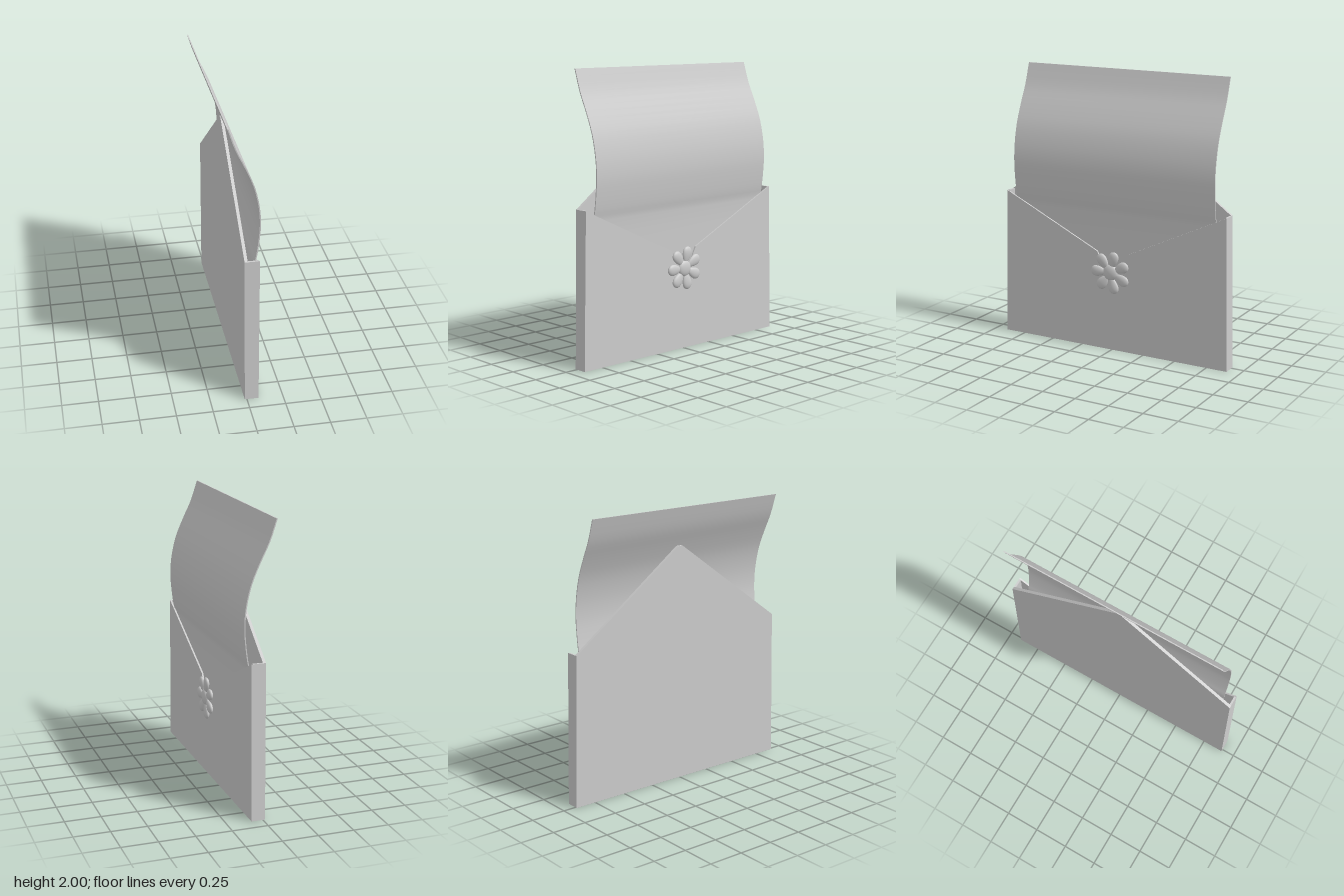
import * as THREE from 'three';

const paper = new THREE.MeshStandardMaterial({ color: 0xcccccc });
paper.name = 'pale grey paper';

function add(parent, geometry, name) {
  const mesh = new THREE.Mesh(geometry, paper);
  mesh.name = name;
  parent.add(mesh);
  return mesh;
}

// Outline in the width/height plane, extruded along x from x0 to x1
function panel(points, x0, x1) {
  const shape = new THREE.Shape(points.map(([u, v]) => new THREE.Vector2(u, v)));
  return new THREE.ExtrudeGeometry(shape, { depth: x1 - x0, bevelEnabled: false })
    .rotateY(Math.PI / 2).translate(x0, 0, 0);
}

// Right half of an outline from bottom to top, mirrored to a closed loop
function mirrored(half) {
  return [...half, ...half.slice().reverse().map(([u, v]) => [-u, v])];
}

// Apply a rule to every vertex
function reshape(geometry, rule) {
  const pos = geometry.attributes.position;
  const v = new THREE.Vector3();
  for (let i = 0; i < pos.count; i++) {
    v.fromBufferAttribute(pos, i);
    rule(v);
    pos.setXYZ(i, v.x, v.y, v.z);
  }
  geometry.computeVertexNormals();
  return geometry;
}

function makeEnvelope() {
  const group = new THREE.Group();
  group.name = 'envelope';

  // Back panel with the raised pointed flap, leaning slightly back
  const back = panel(mirrored([[0.905, 0], [0.88, 1.08], [0.02, 1.71]]), -0.015, 0.006);
  add(group, reshape(back, v => { v.x -= 0.005 * v.y; }), 'backPanelAndFlap');

  // Front panel with V-shaped opening and a notch behind the clasp
  const front = mirrored([[0.905, 0], [0.88, 1.08], [0.12, 0.72], [0.07, 0.62]]);
  add(group, panel(front, 0.069, 0.081), 'frontPanel');

  // U-shaped strip: bottom and both sides
  const rim = mirrored([[0.905, 0], [0.88, 1.08], [0.866, 1.08], [0.89, 0.015]]);
  add(group, panel(rim, 0, 0.069), 'sidesAndBottom');
  return group;
}

function makeLetter() {
  const curve = new THREE.CatmullRomCurve3([
    [0.05, 0.1], [0.055, 0.6], [0.061, 1.0], [0.076, 1.08], [0.09, 1.19], [0.097, 1.3],
    [0.088, 1.43], [0.054, 1.58], [-0.004, 1.72], [-0.066, 1.85], [-0.117, 2.0],
  ].map(([x, y]) => new THREE.Vector3(x, y, 0)));
  const sheet = new THREE.BoxGeometry(0.008, 1, 1.6, 1, 30, 1);
  return reshape(sheet, v => {
    const p = curve.getPoint(THREE.MathUtils.clamp(v.y + 0.5, 0, 1));
    v.x += p.x;
    v.y = p.y;
  });
}

function makeFlower() {
  const flower = new THREE.Group();
  flower.name = 'flowerClasp';
  flower.position.set(0.095, 0.58, 0.003);

  // Teardrop petal pointing along +y, narrow toward the centre
  const petal = new THREE.SphereGeometry(1, 20, 14);
  reshape(petal, v => {
    const taper = 0.75 + 0.25 * v.y;
    v.set(v.x * 0.023 * taper, 0.096 + v.y * 0.06, v.z * 0.05 * taper);
  });
  for (let i = 0; i < 7; i++) {
    add(flower, petal, 'petal').rotation.x = Math.PI / 2 + (i * Math.PI * 2) / 7;
  }
  add(flower, new THREE.SphereGeometry(0.057, 24, 16).scale(0.4, 1, 1), 'flowerCentre');
  return flower;
}

export function createModel() {
  const model = new THREE.Group();
  model.name = 'openEnvelopeWithLetter';
  model.add(makeEnvelope());
  add(model, makeLetter(), 'letter');
  model.add(makeFlower());
  return model;
}
